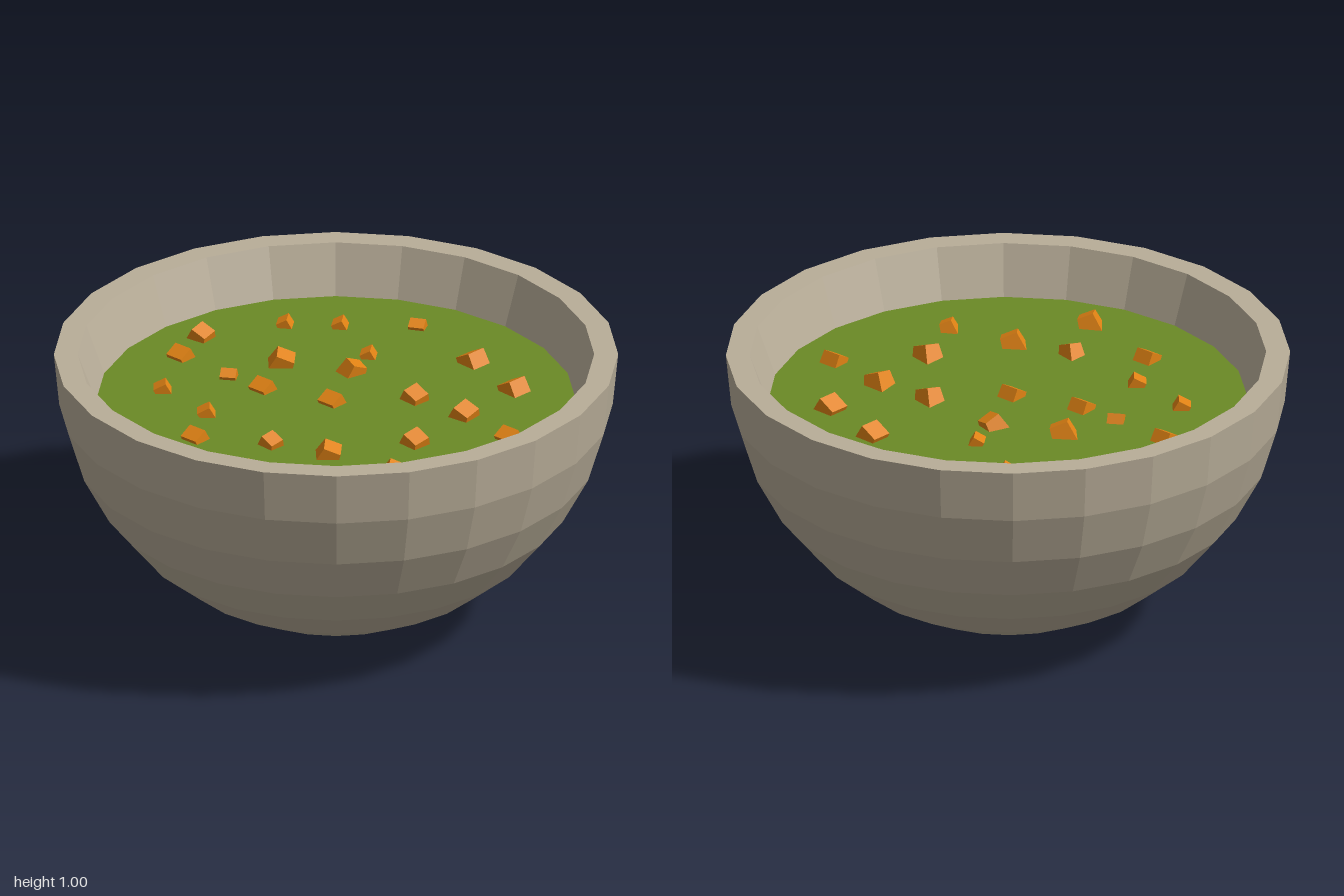
import * as THREE from 'three';

const SIDES = 24;
const SOUP_Y = 0.82;

const material = (color) => new THREE.MeshStandardMaterial({ color, flatShading: true });

// Faceted ring surface from [radius, y] points, with a corner on the z axis
function lathe(points, mat, name) {
  const profile = points.map(([r, y]) => new THREE.Vector2(r, y));
  const mesh = new THREE.Mesh(new THREE.LatheGeometry(profile, SIDES), mat);
  mesh.name = name;
  return mesh;
}

// Block narrowed towards its upper side
function chunkGeometry(w, h, d, taper) {
  const g = new THREE.BoxGeometry(w, h, d);
  const p = g.attributes.position;
  for (let i = 0; i < p.count; i++) {
    if (p.getY(i) > 0) {
      p.setX(i, p.getX(i) * taper);
      p.setZ(i, p.getZ(i) * taper);
    }
  }
  g.computeVertexNormals();
  return g;
}

export function createModel() {
  const model = new THREE.Group();
  const stone = material(0xb8ad98);
  const green = material(0x6b8a26);
  const orange = material(0xe08214);

  // Outer hemisphere, in eight bands
  const outer = [];
  for (let i = 0; i <= 8; i++) {
    const a = (i / 8) * Math.PI / 2;
    outer.push([Math.sin(a), 1 - Math.cos(a)]);
  }
  model.add(lathe(outer, stone, 'bowlOuter'));

  // Flat rim and sloping inner wall
  model.add(lathe([[1, 1], [0.915, 1]], stone, 'bowlRim'));
  model.add(lathe([[0.915, 1], [0.85, SOUP_Y]], stone, 'bowlInnerWall'));

  // Soup surface
  const soup = new THREE.Mesh(new THREE.CircleGeometry(0.85, SIDES), green);
  soup.rotation.x = -Math.PI / 2;
  soup.position.y = SOUP_Y;
  soup.name = 'soup';
  model.add(soup);

  // Floating chunks: x, z, width, depth, yaw in degrees
  const small = [
    [-0.18, -0.615, 0.045, 0.062, -8], [0.015, -0.605, 0.045, 0.062, -8],
    [0.29, -0.59, 0.045, 0.06, 75], [0.115, -0.36, 0.045, 0.062, -8],
    [-0.38, -0.185, 0.045, 0.06, 80], [-0.615, -0.08, 0.052, 0.06, 0],
    [-0.46, 0.115, 0.052, 0.06, 0], [-0.55, -0.35, 0.06, 0.075, 48],
    [-0.26, -0.085, 0.06, 0.075, 48], [-0.015, 0.025, 0.06, 0.075, 48],
    [-0.5, 0.32, 0.06, 0.075, 48], [0.61, 0.32, 0.06, 0.075, 48],
    [0.485, -0.305, 0.075, 0.08, -45], [0.63, -0.075, 0.075, 0.08, -45],
  ];
  const large = [
    [-0.475, -0.51, 0.08, 0.08, -40], [-0.19, -0.295, 0.09, 0.085, -5],
    [0.06, -0.225, 0.08, 0.075, 30], [0.28, 0, 0.085, 0.08, -50],
    [0.455, 0.135, 0.085, 0.09, -40], [-0.23, 0.37, 0.075, 0.07, -50],
    [0.28, 0.36, 0.085, 0.085, -50], [-0.025, 0.455, 0.085, 0.085, -5],
    [-0.3, 0.615, 0.08, 0.09, -8], [0.2, 0.59, 0.06, 0.08, -8],
  ];
  const chunks = new THREE.Group();
  chunks.name = 'chunks';
  const addChunk = (name, [x, z, w, d, yaw], taper, roll, tilt) => {
    const mesh = new THREE.Mesh(chunkGeometry(w, w * 0.85, d, taper), orange);
    mesh.name = name;
    mesh.position.set(x, SOUP_Y + 0.006, z);
    mesh.rotation.set(tilt, THREE.MathUtils.degToRad(yaw), roll, 'YXZ');
    chunks.add(mesh);
  };
  small.forEach((c, i) => addChunk(`smallChunk${i + 1}`, c, 0.95, 0.5, 0));
  large.forEach((c, i) => addChunk(`largeChunk${i + 1}`, c, 0.75, -0.4, 0.2));
  model.add(chunks);

  // Keep the thin ring surfaces visible from both sides
  stone.side = THREE.DoubleSide;
  return model;
}
